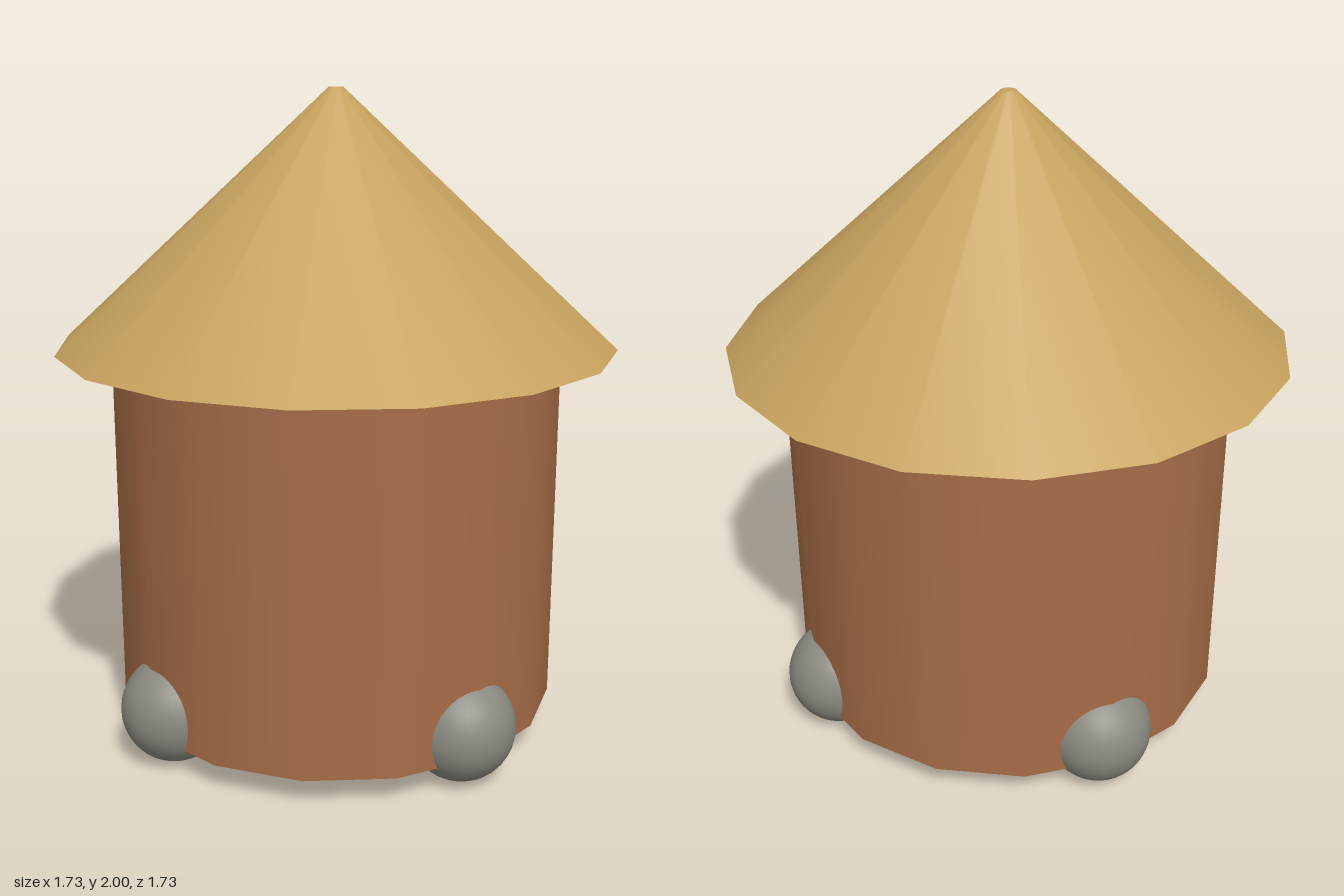
import * as THREE from 'three';

const SIDES = 16;

export function createModel() {
  const group = new THREE.Group();
  group.name = 'roundHut';

  const material = (name, color) => {
    const m = new THREE.MeshStandardMaterial({ color });
    m.name = name;
    return m;
  };
  const clay = material('clay', 0xa86d48);
  const thatch = material('thatch', 0xc6a25e);
  const stone = material('stone', 0x8a8980);

  const add = (name, geometry, mat, x, y, z) => {
    const mesh = new THREE.Mesh(geometry, mat);
    mesh.name = name;
    mesh.position.set(x, y, z);
    group.add(mesh);
  };

  // Closed cylindrical wall
  const wallBottom = 0.093, eaves = 1.224, top = 2;
  add('wall', new THREE.CylinderGeometry(0.694, 0.694, eaves - wallBottom, SIDES),
    clay, 0, (wallBottom + eaves) / 2, 0);

  // Conical roof with a tiny flat tip and a closed underside
  add('roof', new THREE.CylinderGeometry(0.022, 0.864, top - eaves, SIDES),
    thatch, 0, (eaves + top) / 2, 0);

  // Four foundation stones, one at each compass point
  const stoneRadius = 0.164, stoneDistance = 0.613;
  const stoneGeometry = new THREE.SphereGeometry(stoneRadius, 32, 20);
  ['frontStone', 'leftStone', 'backStone', 'rightStone'].forEach((name, i) => {
    const a = i * Math.PI / 2;
    add(name, stoneGeometry, stone,
      Math.sin(a) * stoneDistance, stoneRadius + 0.004, Math.cos(a) * stoneDistance);
  });

  return group;
}
